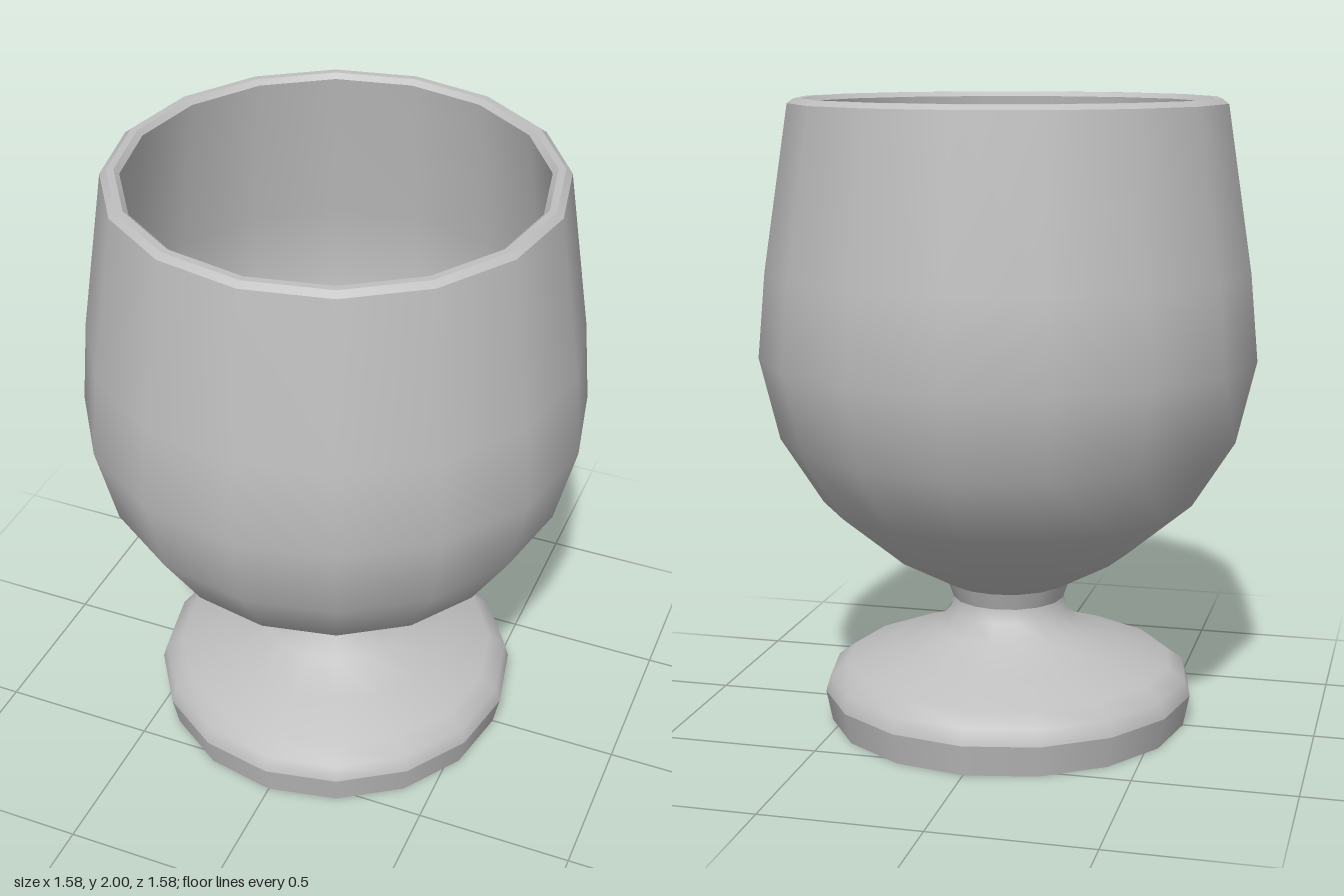
import * as THREE from 'three';

const SIDES = 16;

export function createModel() {
  const goblet = new THREE.Group();
  goblet.name = 'goblet';
  const grey = new THREE.MeshStandardMaterial({ color: 0xbfbfbf });
  grey.name = 'plain grey';

  // Each part is its own lathe, so edges between parts stay sharp
  const turn = (name, profile) => {
    const points = profile.map(([r, y]) => new THREE.Vector2(r, y));
    const mesh = new THREE.Mesh(new THREE.LatheGeometry(points, SIDES), grey);
    mesh.name = name;
    goblet.add(mesh);
  };

  // Foot
  turn('footUnderside', [[0, 0], [0.58, 0]]);
  turn('footEdge', [[0.58, 0], [0.6, 0.1]]);
  turn('footTop', [
    [0.6, 0.1], [0.585, 0.15], [0.53, 0.19], [0.38, 0.243],
    [0.24, 0.3], [0.19, 0.355], [0.18, 0.4],
  ]);

  // Stem collar
  turn('stemCollar', [[0.18, 0.4], [0.2, 0.455]]);

  // Outside of the bowl
  turn('bowlOutside', [
    [0.2, 0.455], [0.385, 0.556], [0.595, 0.73], [0.728, 0.94],
    [0.79, 1.2], [0.765, 1.47], [0.685, 1.985],
  ]);

  // Bevelled rim
  turn('rimOuterBevel', [[0.685, 1.985], [0.665, 2]]);
  turn('rimTop', [[0.665, 2], [0.643, 2]]);
  turn('rimInnerBevel', [[0.643, 2], [0.627, 1.985]]);

  // Hollow inside, running down to a flat floor
  turn('bowlInside', [
    [0.627, 1.985], [0.705, 1.47], [0.73, 1.2], [0.672, 0.97],
    [0.55, 0.78], [0.355, 0.615], [0.14, 0.51],
  ]);
  turn('bowlFloor', [[0.14, 0.51], [0, 0.51]]);

  return goblet;
}
